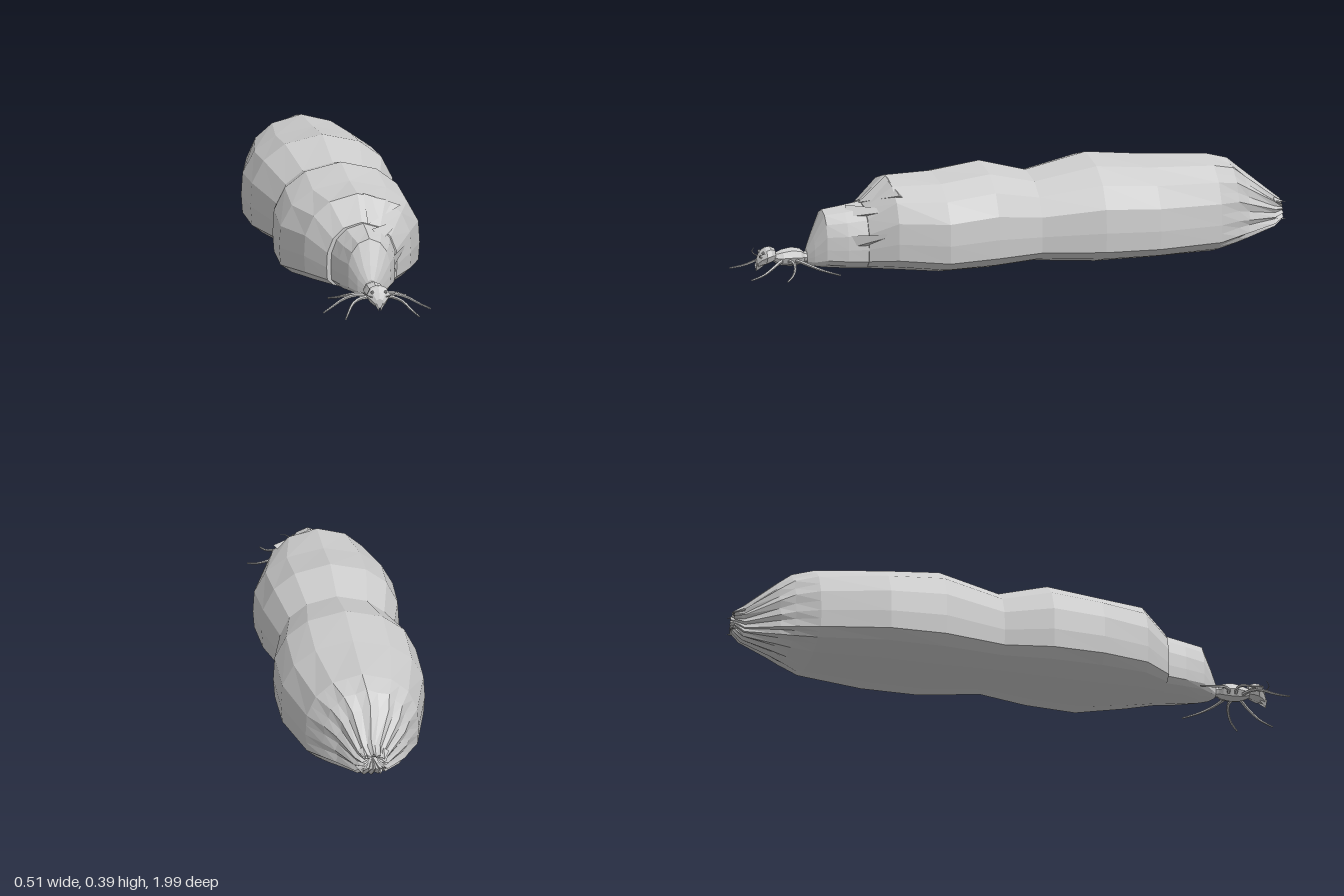
import * as THREE from 'three';
import { ConvexGeometry } from 'three/addons/geometries/ConvexGeometry.js';

const skin = new THREE.MeshStandardMaterial({ color: 0xcccccc, flatShading: true, side: THREE.DoubleSide });
const V = (x, y, z) => new THREE.Vector3(x, y, z);

// Right half of the belly cross-section: x as share of half width, y as share of height
const half = [[0, 0], [0.42, 0.02], [0.82, 0.08], [0.98, 0.16], [1, 0.34], [0.98, 0.56], [0.82, 0.77], [0.52, 0.92], [0, 1]];
const belly = [...half, ...half.slice(1, -1).reverse().map(([x, y]) => [-x, y])];
const round = Array.from({ length: 8 }, (_, i) => {
  const a = (i / 8) * Math.PI * 2 - Math.PI / 2;
  return [Math.cos(a), 0.5 + Math.sin(a) / 2];
});

// Puts an extra point between every two points, for the fine tail pleats
const doubled = (ring) => ring.flatMap(([x, y], i) => {
  const [u, v] = ring[(i + 1) % ring.length];
  return [[x, y], [(x + u) / 2, (y + v) / 2]];
});

// Skins sections [z, halfWidth, yBottom, yTop, xCentre, pleat] from back to front
function loft(profile, sections, dimple = 0) {
  const n = profile.length, pos = [], index = [];
  for (const [z, w, y0, y1, cx = 0, pleat = 0] of sections) {
    profile.forEach(([x, t], j) => {
      const s = j % 2 ? 1 - pleat : 1;
      pos.push(cx + x * w * s, y0 + (y1 - y0) * (0.5 + (t - 0.5) * s), z);
    });
  }
  const last = sections.length - 1;
  for (let i = 0; i < last; i++) for (let j = 0; j < n; j++) {
    const a = i * n + j, b = i * n + (j + 1) % n;
    index.push(a, b, b + n, a, b + n, a + n);
  }
  // End caps; the back one may be sunk in
  [[0, dimple], [last, 0]].forEach(([i, dz], end) => {
    const [z, , y0, y1, cx = 0] = sections[i];
    const c = pos.length / 3;
    pos.push(cx, (y0 + y1) / 2, z + dz);
    for (let j = 0; j < n; j++) {
      const a = i * n + j, b = i * n + (j + 1) % n;
      end ? index.push(c, a, b) : index.push(c, b, a);
    }
  });
  const g = new THREE.BufferGeometry();
  g.setAttribute('position', new THREE.Float32BufferAttribute(pos, 3));
  g.setIndex(index);
  g.computeVertexNormals();
  return g;
}

// Tube along a curve, thinning from r0 to r1
function taperedTube(points, r0, r1, steps = 9, sides = 5) {
  const curve = new THREE.CatmullRomCurve3(points);
  const g = new THREE.TubeGeometry(curve, steps, 1, sides, false);
  const p = g.attributes.position, v = new THREE.Vector3();
  for (let i = 0; i < p.count; i++) {
    const t = Math.floor(i / (sides + 1)) / steps;
    const c = curve.getPointAt(t);
    v.fromBufferAttribute(p, i).sub(c).multiplyScalar(r0 + (r1 - r0) * t).add(c);
    p.setXYZ(i, v.x, v.y, v.z);
  }
  return g;
}

export function createModel() {
  const model = new THREE.Group();
  const add = (name, geometry, parent = model) => {
    const m = new THREE.Mesh(geometry, skin);
    m.name = name;
    parent.add(m);
    return m;
  };

  // Swollen abdomen with a waist
  add('abdomen', loft(belly, [
    [-0.71, 0.2, 0.02, 0.36],
    [-0.47, 0.255, 0.014, 0.372],
    [-0.27, 0.255, 0.01, 0.389],
    [-0.05, 0.205, 0.022, 0.337],
    [0.12, 0.243, 0.008, 0.379],
    [0.3, 0.25, 0.003, 0.352],
    [0.47, 0.19, 0.016, 0.345],
    [0.56, 0.125, 0.022, 0.262],
  ]));

  // Pleated tail with a sunken end
  add('tail', loft(doubled(belly), [
    [-0.985, 0.045, 0.115, 0.185, -0.005, 0.35],
    [-0.95, 0.06, 0.085, 0.212, 0, 0.15],
    [-0.84, 0.125, 0.047, 0.3, -0.012, 0.07],
    [-0.79, 0.155, 0.035, 0.34, -0.005, 0.03],
    [-0.71, 0.2, 0.02, 0.36],
  ], 0.05));
  [[-0.045, 0.175], [0.03, 0.185], [0.04, 0.125], [-0.03, 0.12]].forEach(([x, y]) => {
    add('tailFlap', new ConvexGeometry([
      V(x - 0.018, y, -0.95), V(x + 0.018, y, -0.95), V(x, y + 0.012, -0.95), V(x * 0.9, y - 0.01, -0.998),
    ]));
  });

  // Narrow front lobe of the abdomen
  add('frontLobe', loft(belly, [
    [0.44, 0.15, 0.02, 0.28, 0.005],
    [0.56, 0.115, 0.022, 0.258, 0.005],
    [0.63, 0.1, 0.025, 0.246, 0.005],
    [0.7, 0.075, 0.03, 0.235, 0.003],
    [0.735, 0.045, 0.035, 0.15],
    [0.755, 0.02, 0.045, 0.1],
  ]));

  // Skin folds on the left of the lobe
  add('upperFold', new ConvexGeometry([V(0.02, 0.345, 0.47), V(0.155, 0.295, 0.46), V(0.02, 0.255, 0.57), V(0.1, 0.25, 0.38)]));
  add('middleFold', new ConvexGeometry([V(0.025, 0.25, 0.62), V(0.16, 0.245, 0.46), V(0.06, 0.212, 0.63), V(0.1, 0.2, 0.42)]));
  add('lowerFold', new ConvexGeometry([V(0.09, 0.15, 0.65), V(0.185, 0.165, 0.46), V(0.085, 0.1, 0.65), V(0.13, 0.1, 0.42)]));

  // Thorax with its neck and waist
  add('thorax', loft(round, [
    [0.735, 0.018, 0.045, 0.09],
    [0.765, 0.02, 0.05, 0.088],
    [0.78, 0.033, 0.042, 0.1],
    [0.81, 0.036, 0.038, 0.106],
    [0.845, 0.033, 0.042, 0.1],
    [0.865, 0.026, 0.05, 0.092],
    [0.88, 0.018, 0.06, 0.09],
  ]));

  // Head narrowing to the mouth
  const head = new THREE.Group();
  head.name = 'head';
  model.add(head);
  add('skull', loft(round, [
    [0.872, 0.022, 0.06, 0.105],
    [0.89, 0.038, 0.052, 0.113],
    [0.908, 0.043, 0.046, 0.11],
    [0.925, 0.03, 0.042, 0.094],
    [0.935, 0.016, 0.038, 0.072],
  ]), head);

  for (const s of [1, -1]) {
    const side = s > 0 ? 'left' : 'right';
    const path = (pts) => pts.map(([x, y, z]) => V(s * x, y, z));
    add(side + 'Eye', new THREE.SphereGeometry(0.006, 6, 4), head).position.set(s * 0.024, 0.093, 0.92);
    add(side + 'Jaw', new ConvexGeometry(path([
      [0.003, 0.065, 0.925], [0.02, 0.06, 0.92], [0.012, 0.045, 0.915], [0.015, 0.05, 0.94], [0.002, 0.026, 0.938],
    ])), head);
    add(side + 'Antenna', taperedTube(path([
      [0.022, 0.075, 0.92], [0.035, 0.082, 0.936], [0.05, 0.09, 0.938], [0.068, 0.098, 0.925],
    ]), 0.0025, 0.001), head);

    // Three splayed legs
    const legs = {
      FrontLeg: [[0.02, 0.06, 0.85], [0.055, 0.062, 0.87], [0.088, 0.052, 0.9], [0.112, 0.03, 0.945], [0.13, 0.018, 0.995]],
      MiddleLeg: [[0.02, 0.06, 0.825], [0.07, 0.062, 0.822], [0.115, 0.05, 0.83], [0.155, 0.03, 0.85], [0.19, 0.017, 0.88]],
      RearLeg: [[0.02, 0.06, 0.8], [0.055, 0.06, 0.79], [0.09, 0.05, 0.765], [0.115, 0.035, 0.725], [0.138, 0.02, 0.67]],
    };
    for (const [name, pts] of Object.entries(legs)) add(side + name, taperedTube(path(pts), 0.007, 0.003));
  }
  return model;
}
